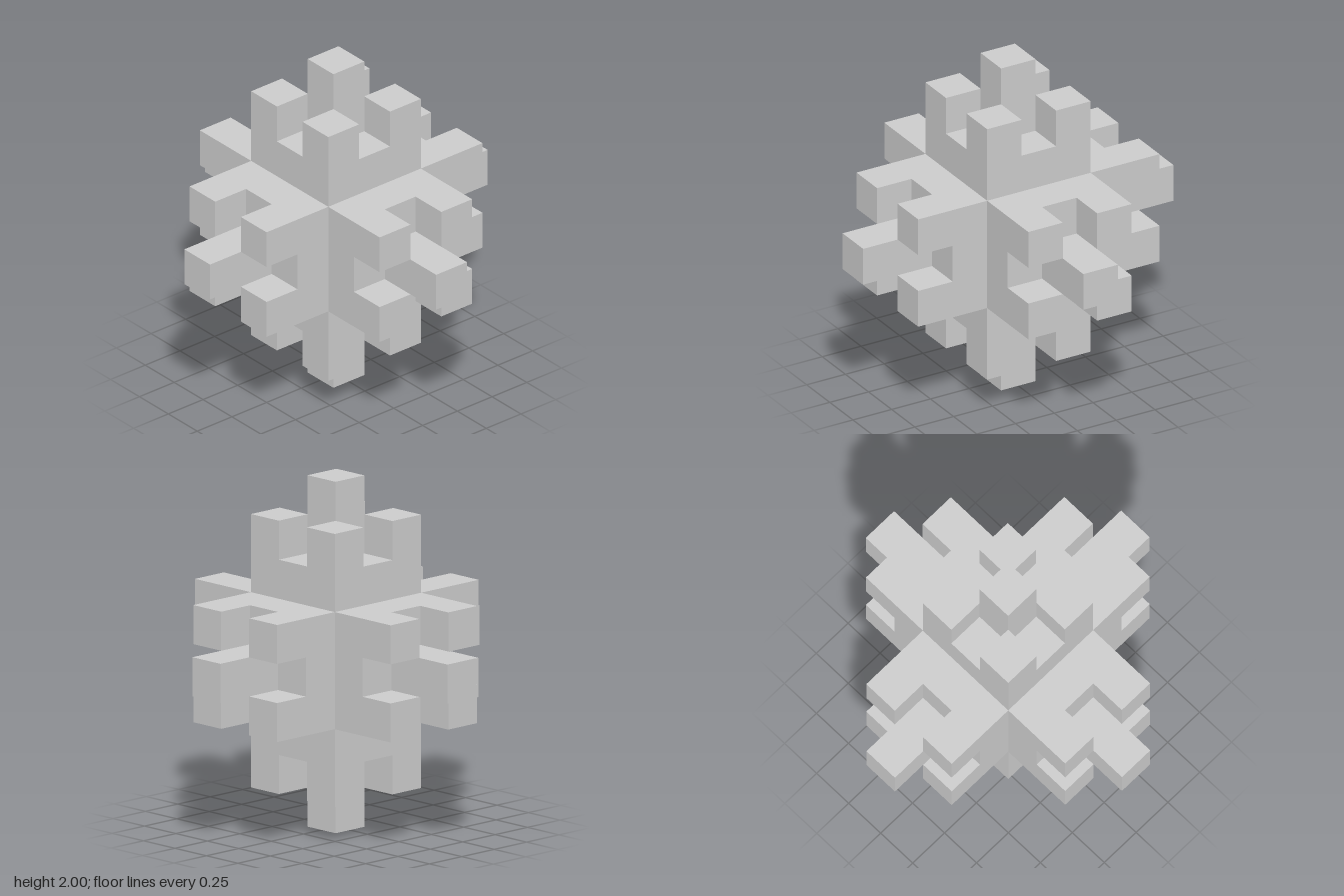
import * as THREE from 'three';

const U = 2 / 9; // one grid cell

export function createModel() {
  const model = new THREE.Group();
  model.name = 'cubeCluster';
  const material = new THREE.MeshStandardMaterial({ color: 0xcccccc, flatShading: true });

  // Box measured in grid cells, with its base at height y
  function block(parent, name, width, height, x, y, z) {
    const geometry = new THREE.BoxGeometry(width * U, height * U, width * U);
    const mesh = new THREE.Mesh(geometry, material);
    mesh.position.set(x * U, (y + height / 2) * U, z * U);
    mesh.name = name;
    parent.add(mesh);
  }

  const body = new THREE.Group();
  body.name = 'body';
  body.position.y = 1;
  model.add(body);
  block(body, 'core', 3, 3, 0, -1.5, 0);

  // Arm along +y: a square plate, four corner posts and a taller centre post
  function createArm(name) {
    const arm = new THREE.Group();
    arm.name = name;
    block(arm, 'plate', 3, 1, 0, 1.5, 0);
    for (const x of [-1, 1]) {
      for (const z of [-1, 1]) block(arm, 'cornerPost', 1, 1, x, 2.5, z);
    }
    block(arm, 'centrePost', 1, 2, 0, 2.5, 0);
    return arm;
  }

  // The same arm on all six sides of the core
  const q = Math.PI / 2;
  const sides = [
    ['topArm', 0, 0], ['bottomArm', 2 * q, 0],
    ['frontArm', q, 0], ['backArm', -q, 0],
    ['leftArm', 0, -q], ['rightArm', 0, q],
  ];
  for (const [name, rx, rz] of sides) {
    const arm = createArm(name);
    arm.rotation.set(rx, 0, rz);
    body.add(arm);
  }
  return model;
}
